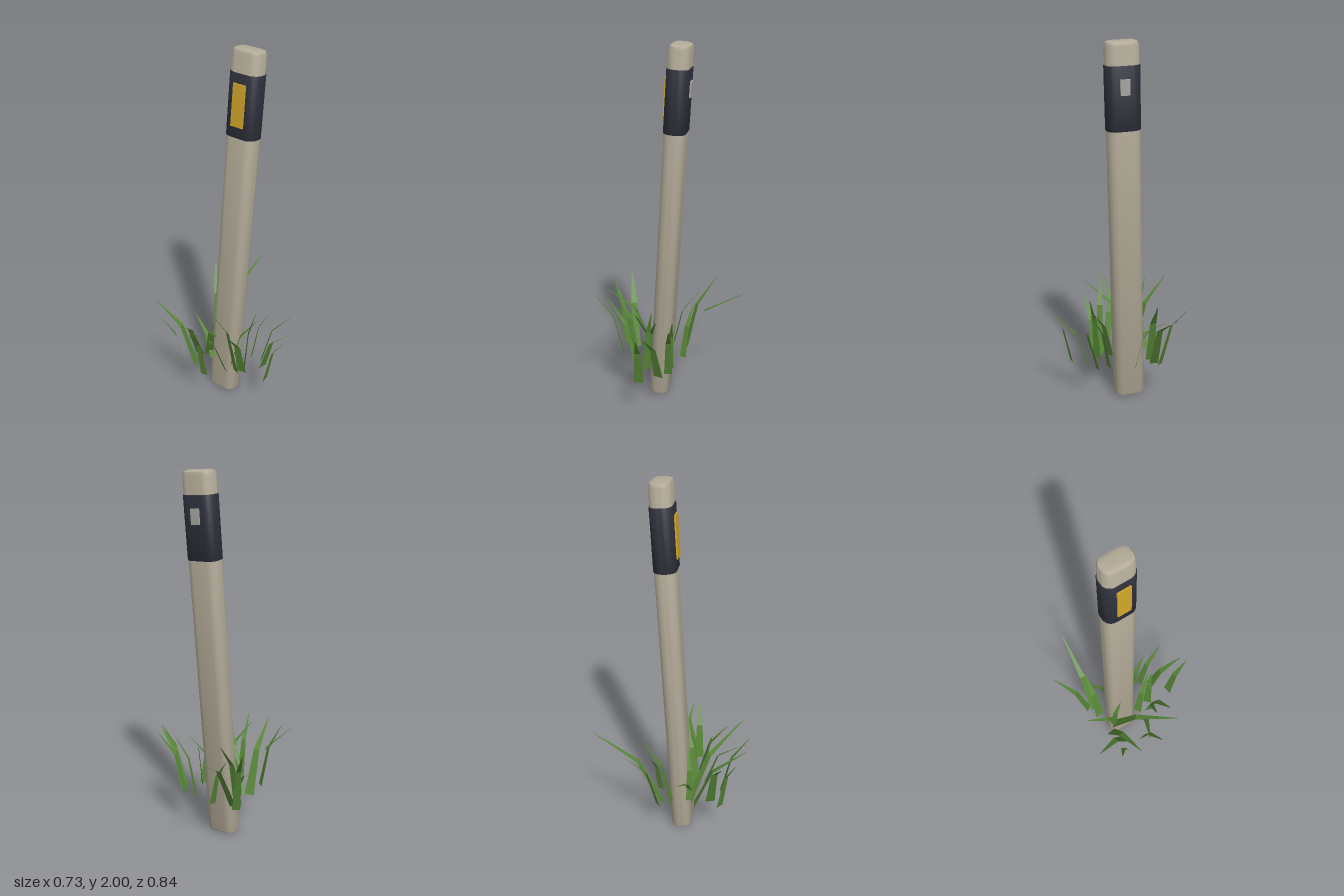
import * as THREE from 'three';
import { toCreasedNormals } from 'three/addons/utils/BufferGeometryUtils.js';

const mat = (name, color, side = THREE.FrontSide) => {
  const m = new THREE.MeshStandardMaterial({ color, side });
  m.name = name;
  return m;
};

// Upright bar with a rounded rectangular section and chamfered ends
function roundedBar(w, d, h, r, bevel) {
  const x = w / 2 - bevel, y = d / 2 - bevel, c = r - bevel;
  const s = new THREE.Shape();
  s.moveTo(-x + c, -y);
  s.lineTo(x - c, -y);
  s.absarc(x - c, -y + c, c, -Math.PI / 2, 0);
  s.lineTo(x, y - c);
  s.absarc(x - c, y - c, c, 0, Math.PI / 2);
  s.lineTo(-x + c, y);
  s.absarc(-x + c, y - c, c, Math.PI / 2, Math.PI);
  s.lineTo(-x, -y + c);
  s.absarc(-x + c, -y + c, c, Math.PI, Math.PI * 1.5);
  const g = new THREE.ExtrudeGeometry(s, {
    depth: h - 2 * bevel, bevelEnabled: true, bevelThickness: bevel,
    bevelSize: bevel, bevelSegments: 2, curveSegments: 6,
  });
  g.translate(0, 0, bevel - h / 2).rotateX(-Math.PI / 2);
  return toCreasedNormals(g, 0.6);
}

// Flat blade: wide foot, one bend, narrow tip
function blade(x0, z0, x1, z1, y1, width) {
  const y0 = 0.215;
  const side = new THREE.Vector2(z1 - z0, x0 - x1).normalize();
  const rows = [
    [0, 0, width], [0.36, 0.64, width * 0.64], [1, 1, 0.004],
  ];
  const pos = [];
  for (const [out, up, w] of rows) {
    const x = x0 + (x1 - x0) * out, z = z0 + (z1 - z0) * out, y = y0 + (y1 - y0) * up;
    for (const k of [-0.5, 0.5]) pos.push(x + side.x * w * k, y, z + side.y * w * k);
  }
  const g = new THREE.BufferGeometry();
  g.setAttribute('position', new THREE.Float32BufferAttribute(pos, 3));
  g.setIndex([0, 1, 3, 0, 3, 2, 2, 3, 5, 2, 5, 4]);
  const flat = g.toNonIndexed();
  flat.computeVertexNormals();
  return flat;
}

export function createModel() {
  const model = new THREE.Group();
  model.name = 'roadsidePost';
  const stone = mat('weathered white', 0xb3ab98);
  const dark = mat('dark band', 0x2e303b);
  const amber = mat('amber reflector', 0xd0a52a);
  const grey = mat('grey reflector', 0xa9a9a6);
  const green = mat('grass green', 0x568536, THREE.DoubleSide);

  const add = (parent, name, geometry, material, x = 0, y = 0, z = 0) => {
    const m = new THREE.Mesh(geometry, material);
    m.name = name;
    m.position.set(x, y, z);
    parent.add(m);
  };

  // Leaning post with its band and reflectors
  const post = new THREE.Group();
  post.name = 'leaningPost';
  const foot = new THREE.Vector3(-0.087, 0, 0.06), top = new THREE.Vector3(-0.005, 2, -0.07);
  post.quaternion.setFromUnitVectors(new THREE.Vector3(0, 1, 0), top.clone().sub(foot).normalize());
  post.position.copy(foot).add(top).multiplyScalar(0.5);
  add(post, 'shaft', roundedBar(0.172, 0.11, 1.993, 0.046, 0.02), stone);
  add(post, 'band', roundedBar(0.18, 0.118, 0.328, 0.049, 0.003), dark, 0, 0.717, 0);
  add(post, 'frontReflector', new THREE.BoxGeometry(0.074, 0.218, 0.014), amber, 0, 0.722, 0.06);
  add(post, 'backReflector', new THREE.BoxGeometry(0.05, 0.08, 0.014), grey, 0, 0.777, -0.06);
  model.add(post);

  // Grass tuft: foot x, foot z, tip x, tip z, tip height, width
  const grass = new THREE.Group();
  grass.name = 'grass';
  const blades = [
    [-0.205, -0.04, -0.178, -0.42, 0.62, 0.05],
    [-0.2, 0.012, -0.19, -0.15, 0.6, 0.054],
    [-0.235, -0.06, -0.36, -0.21, 0.61, 0.045],
    [-0.09, -0.07, -0.2, -0.11, 0.5, 0.04],
    [0.115, -0.03, 0.285, -0.07, 0.56, 0.045],
    [0.05, -0.025, 0.16, -0.062, 0.55, 0.04],
    [0.157, 0.016, 0.345, 0.053, 0.53, 0.054],
    [0.237, 0.105, 0.366, 0.088, 0.53, 0.052],
    [0.007, 0.115, 0.135, 0.035, 0.53, 0.05],
    [0.09, 0.1, 0.138, 0.057, 0.59, 0.05],
    [0.092, 0.125, 0.125, 0.278, 0.54, 0.054],
    [0.067, 0.145, 0.02, 0.287, 0.66, 0.045],
    [0.02, 0.175, -0.074, 0.366, 0.55, 0.045],
    [-0.06, 0.27, -0.027, 0.418, 0.58, 0.04],
    [-0.16, 0.105, 0.112, 0.366, 0.6, 0.05],
    [-0.2, 0.137, -0.161, 0.408, 0.58, 0.054],
    [-0.157, 0.222, -0.367, 0.3, 0.6, 0.054],
    [-0.19, 0.28, -0.268, 0.373, 0.57, 0.045],
    [-0.12, 0.115, -0.3, 0.054, 0.41, 0.04],
    [-0.165, 0.11, -0.095, 0.087, 0.5, 0.045],
  ];
  blades.forEach((b, i) => add(grass, `blade${i + 1}`, blade(...b), green));
  model.add(grass);
  return model;
}
